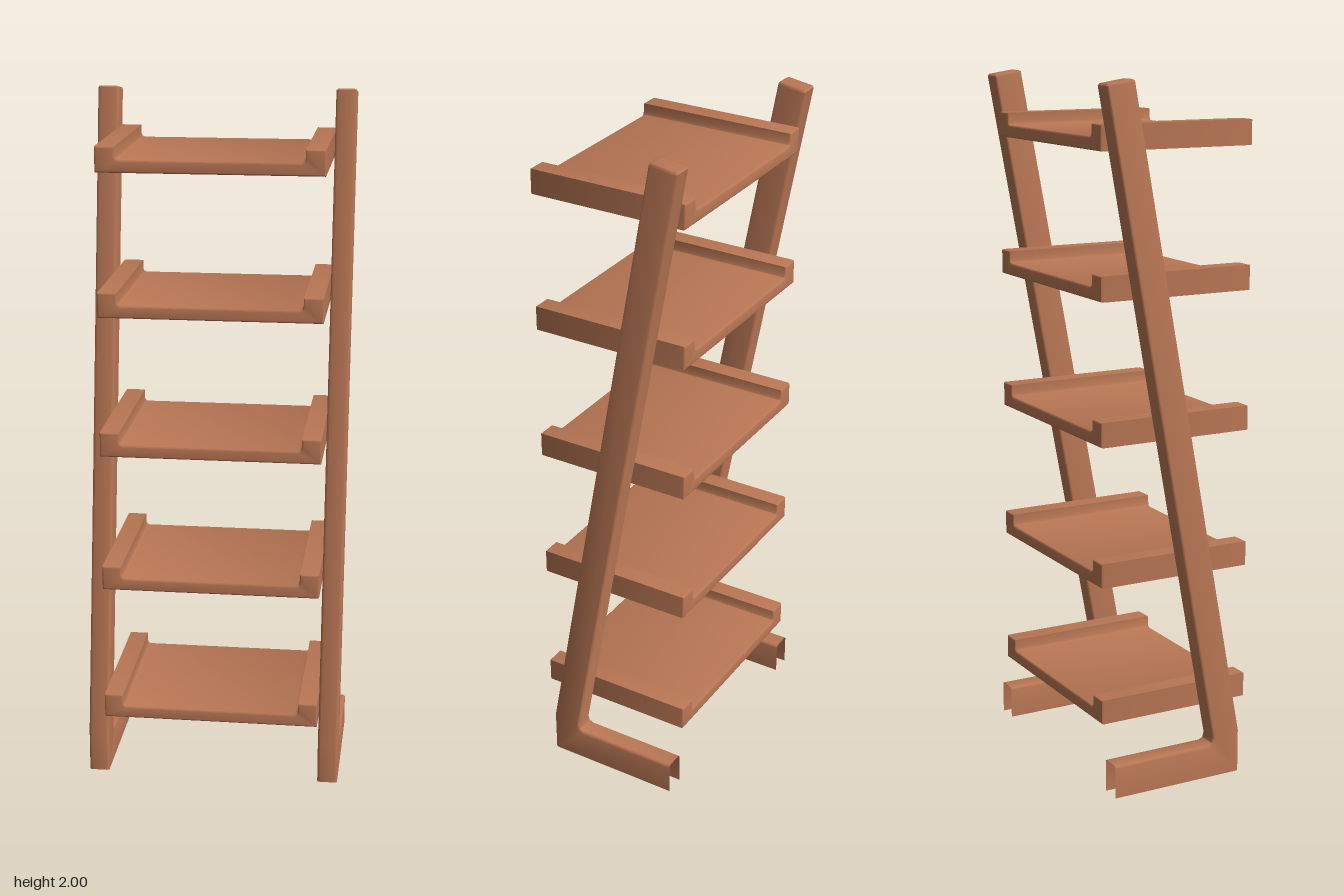
import * as THREE from 'three';
import { toCreasedNormals } from 'three/addons/utils/BufferGeometryUtils.js';

const shapeOf = pts => new THREE.Shape(pts.map(([x, y]) => new THREE.Vector2(x, y)));

// Extrude an outline with softly rounded edges, centred along its depth
function beveled(pts, depth, bevel) {
  return new THREE.ExtrudeGeometry(shapeOf(pts), {
    depth: depth - 2 * bevel, bevelEnabled: true, bevelThickness: bevel,
    bevelSize: bevel, bevelOffset: -bevel, bevelSegments: 3, steps: 1,
  }).translate(0, 0, bevel - depth / 2);
}

// Leaning post with a hollow foot, open underneath and at the back end
function legGeometry() {
  const footEnd = -0.218;
  const outline = [ // [-z, y]
    [-0.19, -0.03], [0.25, -0.03], [0.25, 0.097], [-0.088, 0.097],
    [-0.099, 0.103], [-0.103, 0.118], [0.241, 1.984], [0.236, 1.989], [0.164, 2.0],
    [0.157, 1.997], [-0.19, 0.125],
  ];
  const geo = beveled(outline, 0.059, 0.007).rotateY(Math.PI / 2).toNonIndexed();
  const p = geo.attributes.position;
  const kept = [];
  for (let i = 0; i < p.count; i += 3) {
    const tri = [0, 1, 2].map(k => {
      const v = new THREE.Vector3().fromBufferAttribute(p, i + k);
      v.y = Math.max(v.y, 0);
      if (v.y < 0.15) v.z = Math.max(v.z, footEnd);
      return v;
    });
    // Leave out the underside and the end cap
    const open = tri.every(v => v.y < 1e-5) || tri.every(v => v.z < footEnd + 1e-5 && v.y < 0.15);
    if (!open) kept.push(...tri);
  }
  return toCreasedNormals(new THREE.BufferGeometry().setFromPoints(kept), 0.6);
}

// Tray with a raised lip along each side
function shelfGeometry() {
  const half = [[0.313, 0], [0.313, 0.071], [0.258, 0.071], [0.258, 0.046], [0.255, 0.039], [0.248, 0.036]];
  const mirrored = half.map(([x, y]) => [-x, y]).reverse();
  return toCreasedNormals(beveled([...half, ...mirrored], 0.473, 0.005), 0.6);
}

export function createModel() {
  const model = new THREE.Group();
  model.name = 'ladderShelf';
  const wood = new THREE.MeshStandardMaterial({ color: 0xb87654, side: THREE.DoubleSide });
  wood.name = 'warmWood';

  const leg = legGeometry();
  for (const [name, side] of [['leftLeg', 1], ['rightLeg', -1]]) {
    const mesh = new THREE.Mesh(leg, wood);
    mesh.name = name;
    mesh.position.x = side * 0.343;
    model.add(mesh);
  }

  const shelf = shelfGeometry();
  for (let i = 0; i < 5; i++) {
    const mesh = new THREE.Mesh(shelf, wood);
    mesh.name = `shelf${i + 1}`;
    mesh.position.set(0, 0.203 + i * 0.402, 0.007);
    model.add(mesh);
  }
  return model;
}
